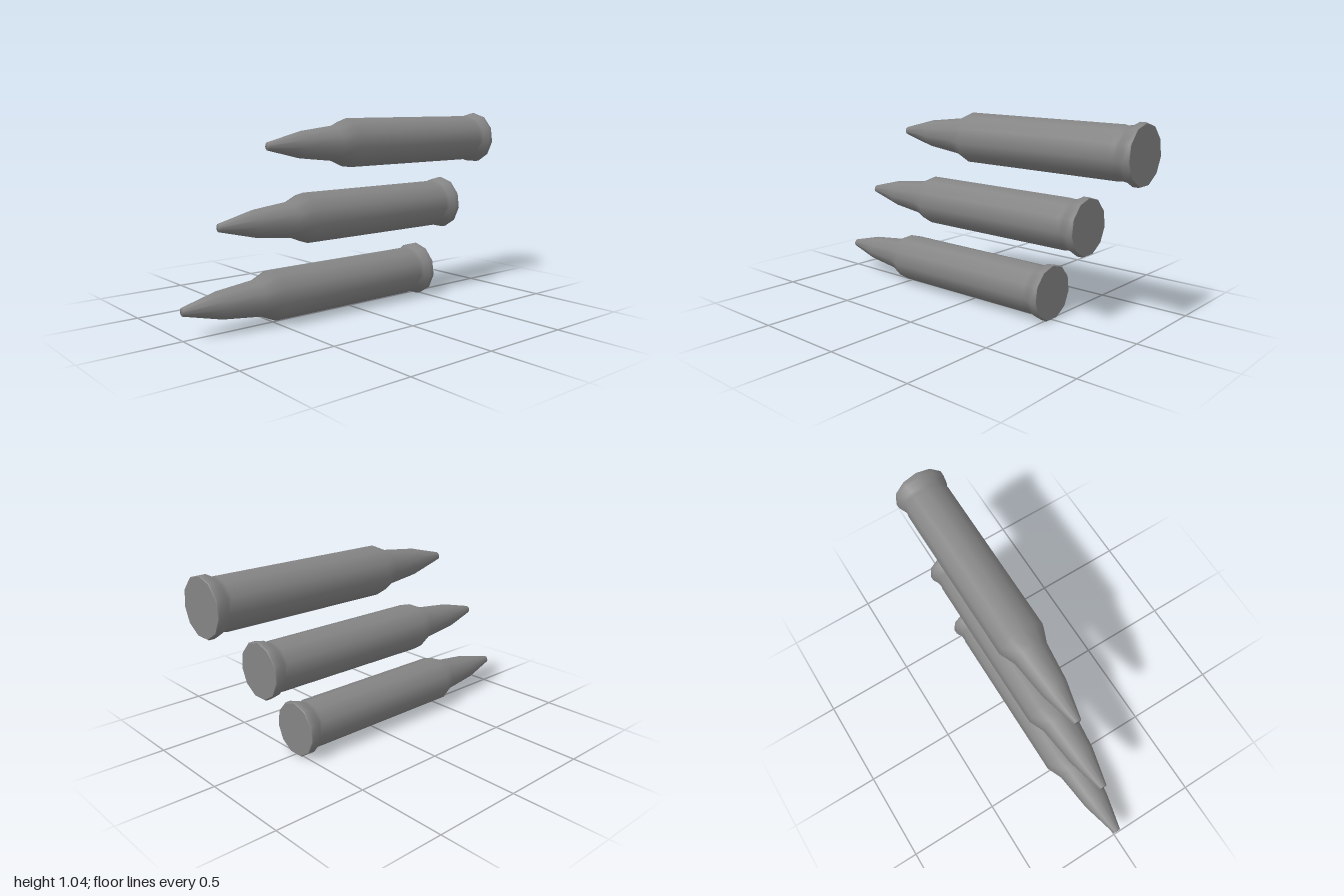
import * as THREE from 'three';

const SIDES = 11;
const RIM = 0.147;
const BASE = 0.143;

// Lathe about the cartridge axis: local y = distance from the base toward the tip (-x),
// with one corner of the polygon pointing up
function turned(name, profile, material) {
  const geometry = new THREE.LatheGeometry(profile.map(([r, d]) => new THREE.Vector2(r, d)), SIDES);
  geometry.applyMatrix4(new THREE.Matrix4().makeBasis(
    new THREE.Vector3(0, 0, -1),
    new THREE.Vector3(-1, 0, 0),
    new THREE.Vector3(0, 1, 0)
  ));
  const mesh = new THREE.Mesh(geometry, material);
  mesh.name = name;
  return mesh;
}

export function createModel() {
  const material = new THREE.MeshStandardMaterial({ color: 0x858585 });
  const model = new THREE.Group();
  model.name = 'cartridges';

  // Base position (x, y) of each cartridge, staggered upward
  [[0.515, 0.142], [0.717, 0.515], [1.0, 0.889]].forEach(([x, y], i) => {
    const cartridge = new THREE.Group();
    cartridge.name = `cartridge${i + 1}`;

    // Flat base disc
    cartridge.add(turned('base', [[0, 0], [BASE, 0]], material));

    // Softened rim, extractor groove, case body, shoulder and neck, then the bullet
    cartridge.add(turned('caseAndBullet', [
      [BASE, 0], [RIM, 0.005], [RIM, 0.035], [0.131, 0.065], [0.127, 0.09], [0.131, 0.11],
      [0.131, 1.02], [0.095, 1.105], [0.071, 1.315], [0.021, 1.515], [0, 1.515]
    ], material));

    cartridge.position.set(x, y, 0);
    model.add(cartridge);
  });

  return model;
}
